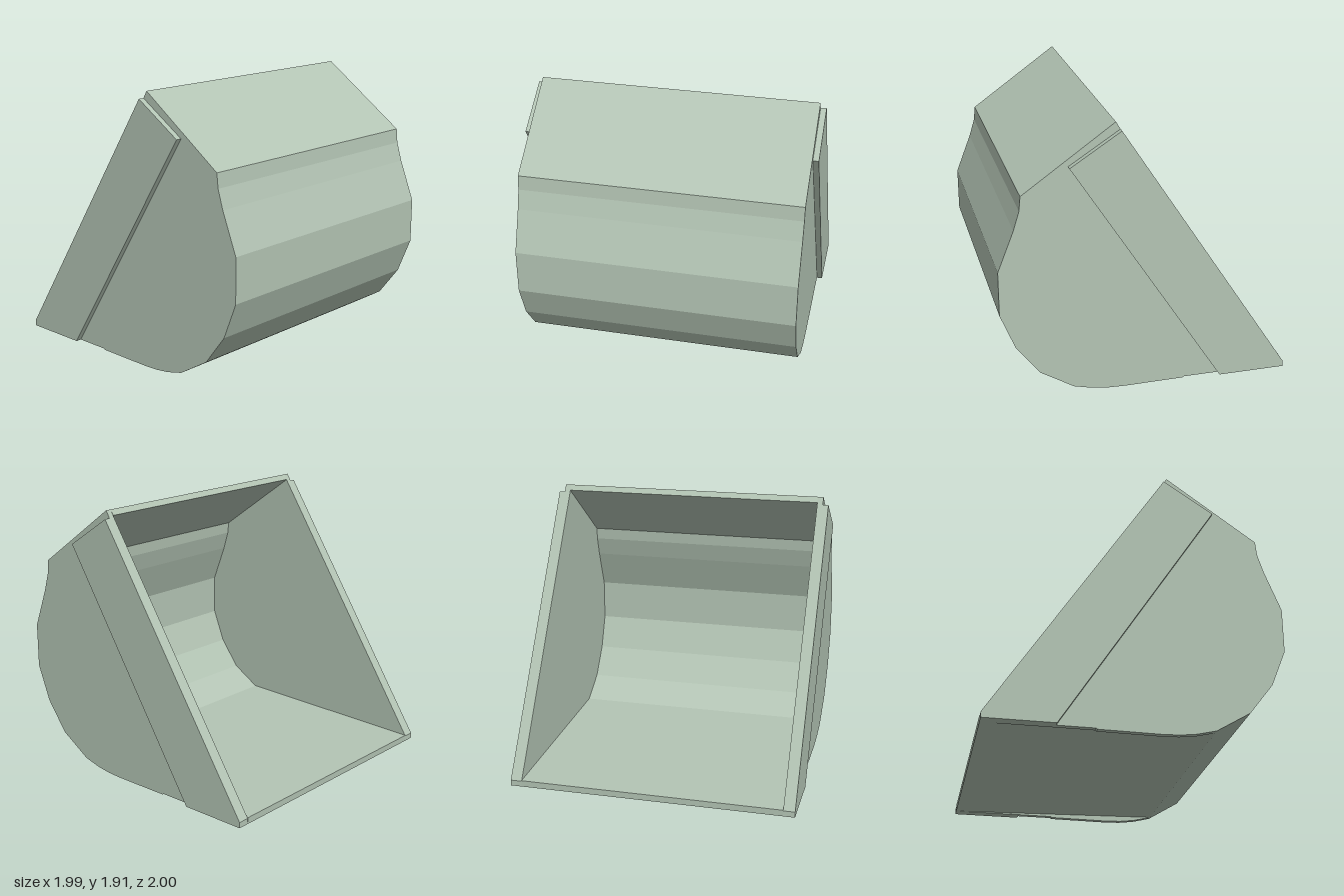
import * as THREE from 'three';

const material = new THREE.MeshStandardMaterial({ color: 0xb3c4b4, flatShading: true });

// Prism with an x-y outline, spanning z0 to z1
function prism(name, points, z0, z1) {
  const shape = new THREE.Shape(points.map(([x, y]) => new THREE.Vector2(x, y)));
  const geometry = new THREE.ExtrudeGeometry(shape, { depth: z1 - z0, bevelEnabled: false });
  geometry.translate(0, 0, z0);
  const mesh = new THREE.Mesh(geometry, material);
  mesh.name = name;
  return mesh;
}

// Mitred offset of an open polyline towards its left side
function offset(points, distance) {
  const normals = points.slice(1).map(([x, y], i) => {
    const dx = x - points[i][0], dy = y - points[i][1], l = Math.hypot(dx, dy);
    return [-dy / l, dx / l];
  });
  return points.map(([x, y], i) => {
    const a = normals[Math.max(i - 1, 0)];
    const b = normals[Math.min(i, normals.length - 1)];
    const k = distance / (1 + a[0] * b[0] + a[1] * b[1]);
    return [x + (a[0] + b[0]) * k, y + (a[1] + b[1]) * k];
  });
}

export function createModel() {
  const bucket = new THREE.Group();
  bucket.name = 'bucket';

  // Curved back, running from the rounded heel up to the top plate
  const back = [
    [0.5, 0.05], [0.73, 0.19], [0.89, 0.4], [0.99, 0.65], [0.99, 0.96],
    [0.88, 1.24], [0.84, 1.37], [0.83, 1.47], [0.21, 1.91],
  ];

  // Shell: floor, curved back and top plate as one bent sheet
  const outer = [[-1, 0.01], ...back];
  const inner = offset(outer, 0.045);
  bucket.add(prism('shell', [...outer, ...inner.reverse()], -0.92, 0.92));

  // Side plates dip slightly below the floor; the rims thicken the opening edge
  const side = [
    [-1, 0.01], [-0.28, 0.01], [-0.27, 0.003], [0.14, 0], [0.26, 0.004],
    [0.37, 0.018], ...back, [0.18, 1.86], [-1, 0.05],
  ];
  const rim = [[-1, 0.01], [-0.53, 0.01], [0.52, 1.64], [0.18, 1.86], [-1, 0.05]];
  bucket.add(
    prism('leftSidePlate', side, 0.92, 0.96),
    prism('rightSidePlate', side, -0.96, -0.92),
    prism('leftRim', rim, 0.96, 1),
    prism('rightRim', rim, -1, -0.96),
  );
  return bucket;
}
